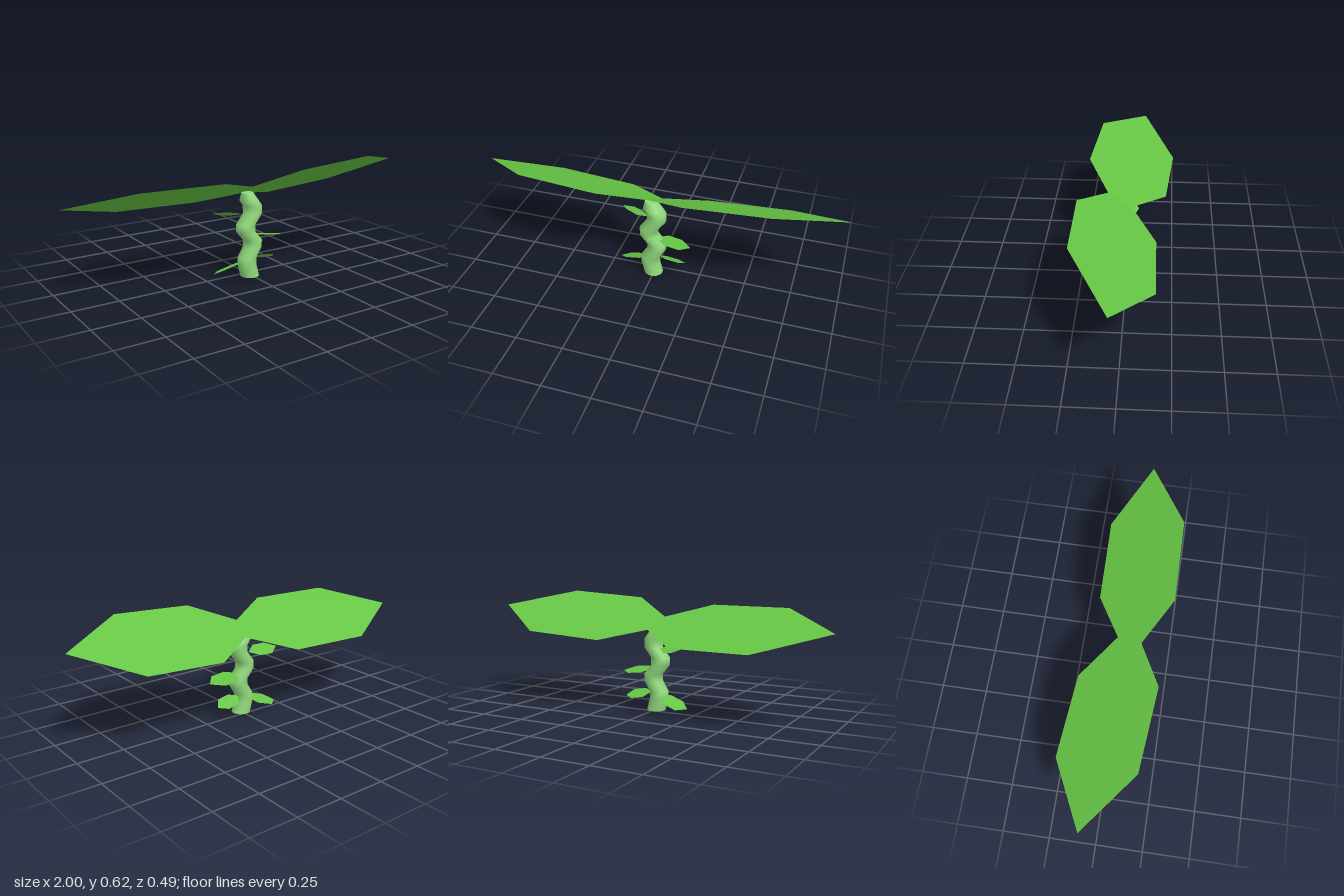
import * as THREE from 'three';
import { mergeVertices } from 'three/addons/utils/BufferGeometryUtils.js';

const leafMaterial = new THREE.MeshStandardMaterial({ color: 0x66c544, side: THREE.DoubleSide, flatShading: true });
const stemMaterial = new THREE.MeshStandardMaterial({ color: 0x90d97c });

// Flat six-sided leaf: tip and two shoulders, the other half mirrored through the centre
function makeLeaf(name, centre, tip, outer, inner) {
  const half = [tip, outer, inner];
  const opposite = half.map(p => p.map((v, i) => 2 * centre[i] - v));
  const geometry = new THREE.BufferGeometry();
  geometry.setAttribute('position', new THREE.Float32BufferAttribute([...half, ...opposite].flat(), 3));
  geometry.setIndex([0, 1, 2, 0, 2, 3, 0, 3, 4, 0, 4, 5]);
  geometry.computeVertexNormals();
  const leaf = new THREE.Mesh(geometry, leafMaterial);
  leaf.name = name;
  return leaf;
}

// Stem rings: height, sideways shift, radius
const STEM_Z = 0.039;
const rings = [
  [0, -0.005, 0.051], [0.065, -0.022, 0.051], [0.105, -0.022, 0.051],
  [0.16, 0.012, 0.051], [0.2, 0.012, 0.051], [0.25, -0.03, 0.051],
  [0.29, -0.03, 0.051], [0.345, 0.012, 0.051], [0.39, 0.012, 0.051],
  [0.42, -0.01, 0.051], [0.463, -0.02, 0.032],
];

function makeStem() {
  const stem = new THREE.Group();
  stem.name = 'stem';
  const last = rings.length - 1;

  // Wavy tube: each row of a cylinder moved to its ring
  let geometry = new THREE.CylinderGeometry(1, 1, last, 32, last, true);
  geometry.deleteAttribute('uv');
  geometry.deleteAttribute('normal');
  geometry = mergeVertices(geometry);
  const pos = geometry.attributes.position;
  for (let i = 0; i < pos.count; i++) {
    const [y, shift, r] = rings[Math.round(pos.getY(i) + last / 2)];
    pos.setXYZ(i, pos.getX(i) * r + shift, y, pos.getZ(i) * r + STEM_Z);
  }
  geometry.computeVertexNormals();
  const stalk = new THREE.Mesh(geometry, stemMaterial);
  stalk.name = 'stalk';
  stem.add(stalk);

  // End caps
  for (const [name, [y, shift, r], turn] of [['bottomCap', rings[0], 1], ['topCap', rings[last], -1]]) {
    const cap = new THREE.Mesh(new THREE.CircleGeometry(r, 32), stemMaterial);
    cap.name = name;
    cap.rotation.x = turn * Math.PI / 2;
    cap.position.set(shift, y, STEM_Z);
    stem.add(cap);
  }
  return stem;
}

export function createModel() {
  const plant = new THREE.Group();
  plant.name = 'seedling';
  plant.add(
    makeStem(),
    // Two broad top leaves
    makeLeaf('leftTopLeaf', [0.445, 0.505, 0.037], [1, 0.537, 0.03], [0.69, 0.415, -0.165], [0.25, 0.39, -0.16]),
    makeLeaf('rightTopLeaf', [-0.45, 0.478, -0.015], [-1, 0.485, -0.07], [-0.7, 0.575, 0.175], [-0.26, 0.572, 0.216]),
    // Small leaves along the stem
    makeLeaf('leftUpperLeaf', [0.105, 0.2155, 0.037], [0.2, 0.203, 0.04], [0.14, 0.2, -0.02], [0.06, 0.21, -0.025]),
    makeLeaf('leftLowerLeaf', [0.095, 0.0855, 0.019], [0.17, 0.07, 0.01], [0.12, 0.062, -0.02], [0.05, 0.074, -0.015]),
    makeLeaf('rightLowerLeaf', [-0.12, 0.0565, 0.008], [-0.21, 0.03, 0], [-0.165, 0.06, 0.045], [-0.08, 0.085, 0.06]),
    makeLeaf('rightUpperLeaf', [-0.12, 0.35, -0.005], [-0.2, 0.358, -0.025], [-0.155, 0.371, 0.027], [-0.095, 0.365, 0.05]),
  );
  return plant;
}
